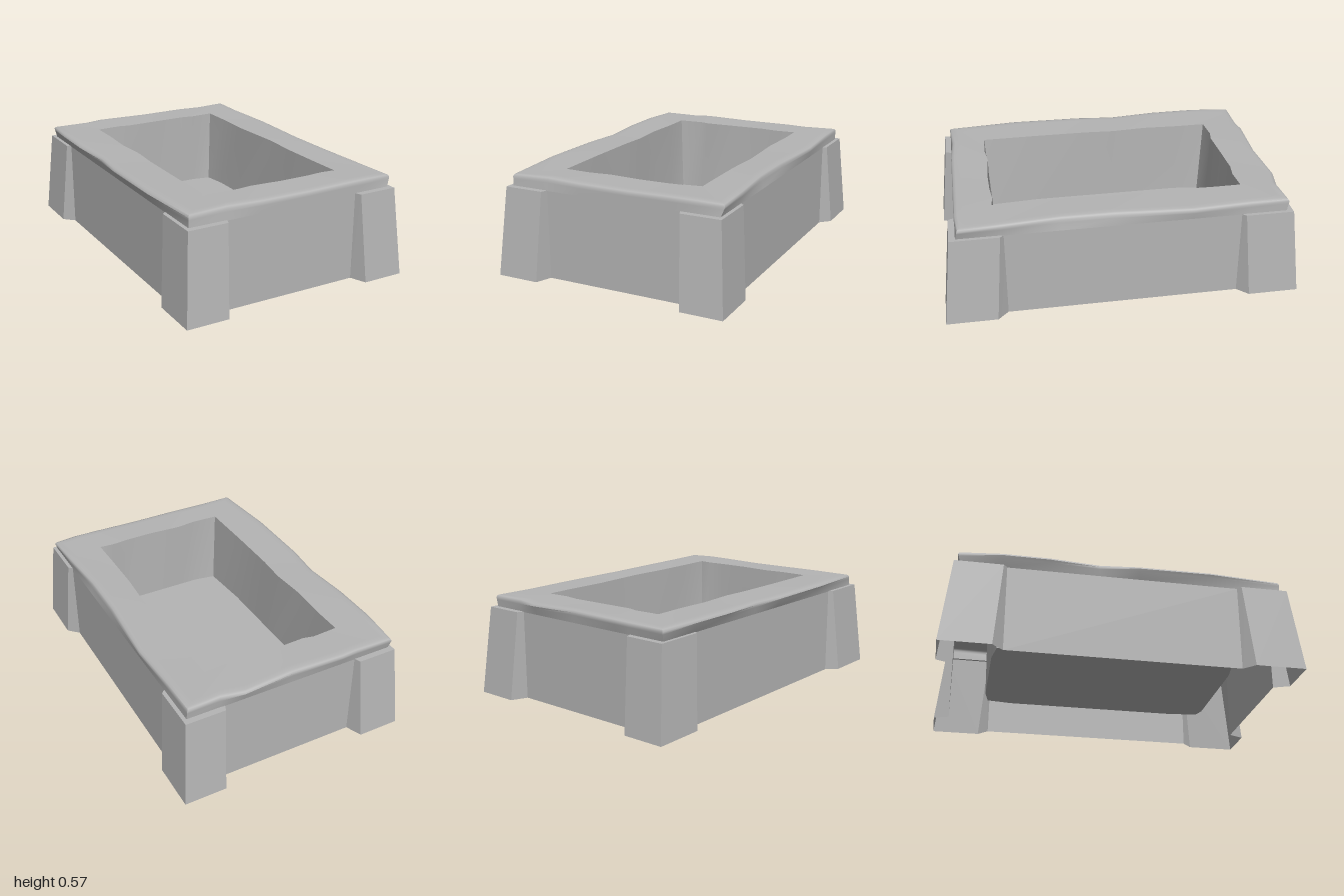
import * as THREE from 'three';
import { toCreasedNormals } from 'three/addons/utils/BufferGeometryUtils.js';

const stone = new THREE.MeshStandardMaterial({ color: 0xb4b4b4, side: THREE.DoubleSide });
stone.name = 'grey stone';

// Worn outline of the rim, six points per side: front, right, back, left
const RIM = [
  [-0.62, 0.91], [-0.4, 0.9], [-0.2, 0.91], [0.1, 0.91], [0.35, 0.91], [0.5, 0.91],
  [0.64, 0.9], [0.63, 0.66], [0.61, 0.35], [0.61, 0.05], [0.635, -0.38], [0.62, -0.7],
  [0.62, -0.92], [0.43, -0.91], [0.295, -0.935], [0, -0.915], [-0.31, -0.93], [-0.405, -0.92],
  [-0.63, -0.925], [-0.65, -0.69], [-0.65, -0.42], [-0.63, -0.14], [-0.65, 0.08], [-0.65, 0.5],
];

// Rectangle with one point for each rim point, optionally with a wavy edge
function rectLoop(hx, hz, y, wave = 0) {
  return RIM.map(([x, z], i) => {
    const side = Math.floor(i / 6), corner = i % 6 === 0;
    const w = corner ? 0 : wave * Math.sin(i * 2.3);
    const px = (x / 0.63) * hx, pz = (z / 0.92) * hz;
    const sx = Math.sign(x) * hx, sz = Math.sign(z) * hz;
    if (corner) return [sx, y, sz];
    return side % 2 === 0 ? [px, y, sz + Math.sign(sz) * w] : [sx + Math.sign(sx) * w, y, pz];
  });
}

const rimLoop = (y, inset) => RIM.map(([x, z], i) => [
  x * (1 - inset / 0.63), y + 0.003 * Math.sin(i * 1.7), z * (1 - inset / 0.92),
]);

const mix = (a, b, t) => a.map((p, i) => p.map((v, k) => v + (b[i][k] - v) * t));

// Triangles joining successive rows of points
function loft(rows, closed = true) {
  const out = [];
  for (let r = 0; r < rows.length - 1; r++) {
    const a = rows[r], b = rows[r + 1], n = a.length;
    for (let i = 0; i < (closed ? n : n - 1); i++) {
      const j = (i + 1) % n;
      out.push(a[i], a[j], b[j], a[i], b[j], b[i]);
    }
  }
  return out;
}

function fan(loop, centre) {
  return loop.flatMap((p, i) => [p, loop[(i + 1) % loop.length], centre]);
}

function makeMesh(name, points, crease) {
  const geo = new THREE.BufferGeometry();
  geo.setAttribute('position', new THREE.Float32BufferAttribute(points.flat(), 3));
  const mesh = new THREE.Mesh(toCreasedNormals(geo, crease), stone);
  mesh.name = name;
  return mesh;
}

export function createModel() {
  const model = new THREE.Group();
  model.name = 'stoneBasin';
  const HX = 0.62, HZ = 0.91, SHOULDER = 0.5, FLOOR = 0.12;

  // Upper band, rounded rim and flat top
  const base = rectLoop(HX, HZ, SHOULDER);
  const edge = rimLoop(0.556, 0);
  const innerEdge = rectLoop(0.41, 0.702, 0.571, 0.008);
  const rim = loft([base, mix(base, edge, 0.75), edge, rimLoop(0.567, 0.006),
    rimLoop(0.571, 0.02), rimLoop(0.571, 0.05), innerEdge]);
  model.add(makeMesh('rim', rim, 0.9));

  // Hollow with slightly drawn-in floor corners
  const floor = rectLoop(0.405, 0.697, FLOOR);
  for (let i = 0; i < 24; i += 6) {
    floor[i][0] *= 0.95;
    floor[i][2] *= 0.97;
  }
  model.add(makeMesh('hollowWalls', loft([innerEdge, floor]), 0.5));
  model.add(makeMesh('floor', fan(floor, [0, FLOOR, 0]), 0.5));

  // Outer wall panels between the corner buttresses, open underneath
  for (const s of [1, -1]) {
    const row = (pts, y) => pts.map(([x, z]) => [x * s, y, z * s]);
    const end = [[-0.4, HZ], [0.4, HZ]];
    const flank = [[HX, 0.655], [HX, -0.655]];
    model.add(makeMesh(s > 0 ? 'frontWall' : 'backWall',
      loft([row(end, 0), row(end, SHOULDER)], false), 0.5));
    model.add(makeMesh(s > 0 ? 'leftWall' : 'rightWall',
      loft([row(flank, 0), row(flank, SHOULDER)], false), 0.5));
  }

  // Tapered buttresses wrapping the four corners
  const foot = [[0.4, HZ], [0.437, 1], [0.68, 1], [0.68, 0.715], [HX, 0.655]];
  const head = [[0.4, HZ], [0.414, 0.945], [0.642, 0.945], [0.642, 0.675], [HX, 0.655]];
  for (const sx of [1, -1]) {
    for (const sz of [1, -1]) {
      const row = (pts, y) => {
        const p = pts.map(([x, z]) => [x * sx, y, z * sz]);
        return sx * sz > 0 ? p : p.reverse();
      };
      const top = row(head, SHOULDER + 0.003);
      const cap = fan(top, [HX * sx, SHOULDER + 0.003, HZ * sz]).slice(0, -3);
      const name = (sz > 0 ? 'front' : 'back') + (sx > 0 ? 'Left' : 'Right') + 'Buttress';
      model.add(makeMesh(name, [...loft([row(foot, 0), top], false), ...cap], 0.3));
    }
  }
  return model;
}
